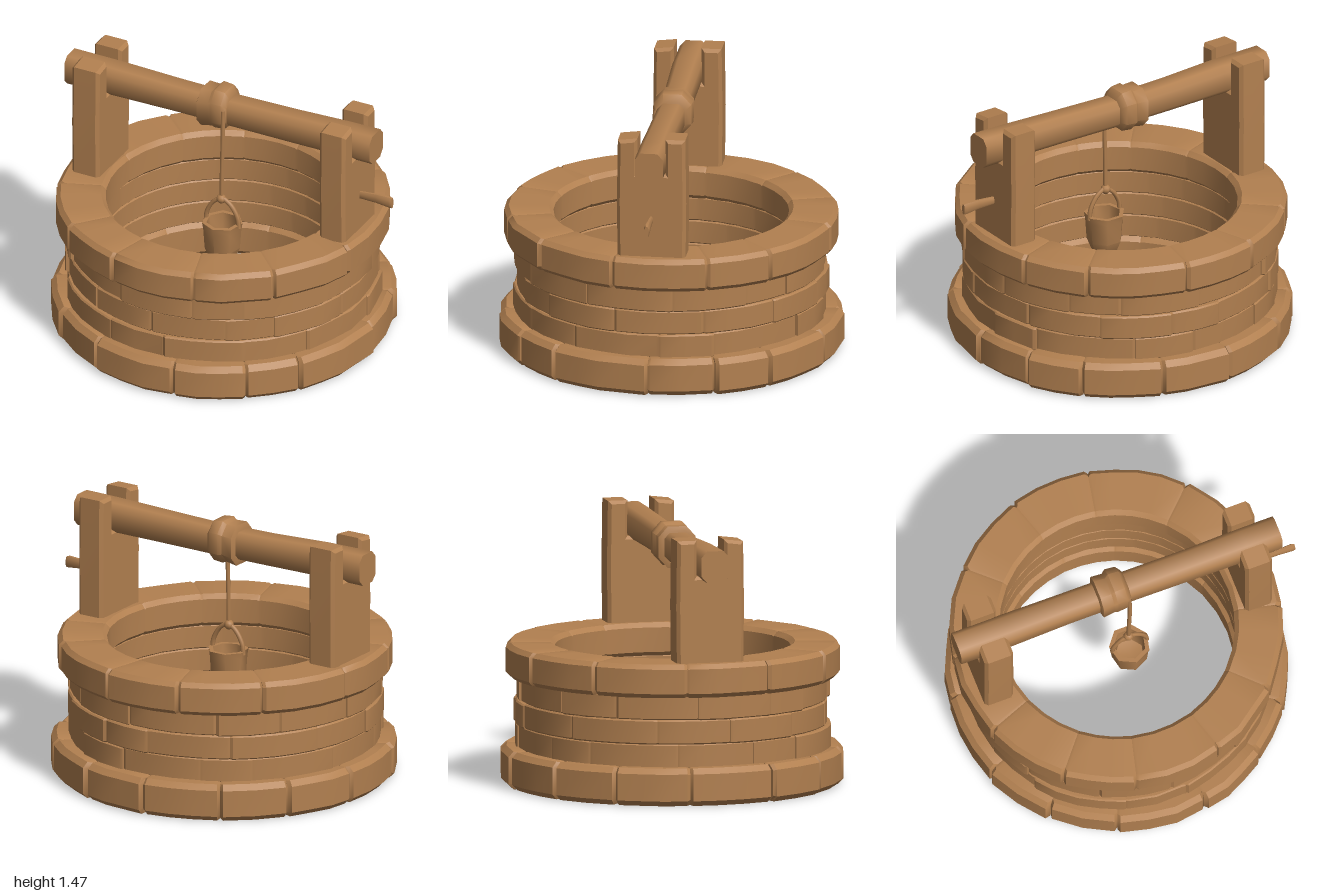
import * as THREE from 'three';
import { toCreasedNormals } from 'three/addons/utils/BufferGeometryUtils.js';

const clay = new THREE.MeshStandardMaterial({ color: 0xb28050, side: THREE.DoubleSide });
clay.name = 'warm brown';

const CX = -0.05; // axis of the well

// small seeded random in -1..1
let seed = 7;
const rnd = () => {
  seed = (seed * 16807) % 2147483647;
  return (seed / 2147483647) * 2 - 1;
};

// skin a row of equal closed sections (arrays of Vector3), capped at both ends
function loft(sections, crease = 0.6) {
  const n = sections[0].length, pos = [], idx = [];
  sections.forEach(s => s.forEach(p => pos.push(p.x, p.y, p.z)));
  for (let i = 0; i < sections.length - 1; i++) {
    for (let j = 0; j < n; j++) {
      const a = i * n + j, b = i * n + (j + 1) % n;
      idx.push(a, b, a + n, b, b + n, a + n);
    }
  }
  const last = (sections.length - 1) * n;
  for (let j = 1; j < n - 1; j++) {
    idx.push(0, j + 1, j, last, last + j, last + j + 1);
  }
  const g = new THREE.BufferGeometry();
  g.setAttribute('position', new THREE.Float32BufferAttribute(pos, 3));
  g.setIndex(idx);
  return toCreasedNormals(g, crease);
}

function add(parent, name, geometry) {
  const m = new THREE.Mesh(geometry, clay);
  m.name = name;
  parent.add(m);
  return m;
}

// one curved stone: chamfered section swept between two angles, drawn in at its ends
function stone(t0, t1, r0, r1, y0, y1, bevel, wobble) {
  const arc = t1 - t0, e = 0.018;
  const steps = Math.max(2, Math.round(arc / 0.17));
  const stops = [[t0, bevel * 0.6]];
  for (let i = 0; i <= steps; i++) {
    stops.push([t0 + e + (arc - 2 * e) * i / steps, 0]);
  }
  stops.push([t1, bevel * 0.6]);
  return loft(stops.map(([t, inset]) => {
    const R = r1 - inset + rnd() * wobble, b = bevel, k = inset * 0.3;
    const lo = y0 + k, hi = y1 - k;
    return [[r0 + b, lo], [R - b, lo], [R, lo + b], [R, hi - b],
      [R - b, hi], [r0 + b, hi], [r0, hi - b], [r0, lo + b]]
      .map(([r, y]) => new THREE.Vector3(CX + r * Math.cos(t), y, r * Math.sin(t)));
  }));
}

// a full ring of irregular stones
function course(name, count, r0, r1, y0, y1, bevel, wobble, rough, offset) {
  const g = new THREE.Group();
  g.name = name;
  const step = Math.PI * 2 / count;
  const cuts = Array.from({ length: count }, (_, i) => offset + step * (i + rnd() * 0.2));
  cuts.push(cuts[0] + Math.PI * 2);
  for (let i = 0; i < count; i++) {
    add(g, 'stone', stone(cuts[i], cuts[i + 1], r0, r1 + rnd() * rough, y0, y1, bevel, wobble));
  }
  return g;
}

// eight-sided sections along x for beam and crank: [x, centre y, centre z, half height, half depth]
function bar(rows, corner = 0.5) {
  return loft(rows.map(([x, y, z, h, d]) =>
    [[1, -corner], [1, corner], [corner, 1], [-corner, 1], [-1, corner], [-1, -corner], [-corner, -1], [corner, -1]]
      .map(([u, v]) => new THREE.Vector3(x, y + v * h, z - u * d)).reverse()), 0.9);
}

// upright with a notch on top for the beam
function post(x0, x1) {
  const b = 0.018;
  const s = new THREE.Shape([[-0.17, 0.7], [0.17, 0.7], [0.175, 1.1], [0.17, 1.45], [0.095, 1.45],
    [0.095, 1.25], [-0.095, 1.25], [-0.095, 1.45], [-0.17, 1.44], [-0.175, 1.1]]
    .map(p => new THREE.Vector2(...p)));
  const g = new THREE.ExtrudeGeometry(s, {
    depth: x1 - x0 - 2 * b, bevelThickness: b, bevelSize: b, bevelSegments: 1 });
  g.rotateY(Math.PI / 2);
  g.translate(x0 + b, 0, 0);
  return toCreasedNormals(g, 0.6);
}

const tube = (pts, r) => new THREE.TubeGeometry(
  new THREE.CatmullRomCurve3(pts.map(p => new THREE.Vector3(...p))), 12, r, 6);

export function createModel() {
  seed = 7;
  const model = new THREE.Group();
  model.name = 'well';

  // stonework: footing, three wall courses, rim
  model.add(course('footing', 14, 0.65, 0.945, 0, 0.21, 0.03, 0.008, 0.008, 0.1));
  for (let i = 0; i < 3; i++) {
    const y = 0.2 + i * 0.135;
    model.add(course('wallCourse', 13, 0.67, 0.865, y, y + 0.137, 0.008, 0.005, 0.014, 0.2 * i));
  }
  model.add(course('rim', 12, 0.65, 0.92, 0.6, 0.787, 0.025, 0.006, 0.006, 0.25));

  // frame
  add(model, 'rightPost', post(-0.9, -0.73));
  add(model, 'leftPost', post(0.64, 0.8));
  add(model, 'beam', bar([
    [-1, 1.335, 0, 0.088, 0.078], [-0.7, 1.335, 0, 0.085, 0.08], [-0.35, 1.328, -0.005, 0.08, 0.075],
    [0, 1.325, -0.005, 0.078, 0.075], [0.4, 1.33, 0, 0.082, 0.075], [0.7, 1.335, 0, 0.085, 0.08],
    [0.9, 1.335, 0, 0.088, 0.078]], 0.6));

  // rope wound round the beam, hanging line and knot
  add(model, 'ropeCoil', bar([
    [-0.175, 1.33, -0.005, 0.085, 0.085], [-0.165, 1.325, -0.005, 0.115, 0.105], [-0.1, 1.33, -0.005, 0.108, 0.1],
    [-0.08, 1.335, -0.01, 0.12, 0.11], [-0.02, 1.335, -0.01, 0.115, 0.105], [0.005, 1.33, -0.005, 0.085, 0.085]]));
  add(model, 'rope', tube([[-0.01, 1.36, 0.085], [-0.008, 1.2, 0.09], [-0.013, 1, 0.09], [-0.015, 0.8, 0.09]], 0.013));
  const knot = add(model, 'knot', new THREE.SphereGeometry(0.028, 8, 6));
  knot.position.set(-0.017, 0.8, 0.09);

  // bucket with its bail
  const bucket = new THREE.Group();
  bucket.name = 'bucket';
  bucket.position.set(-0.01, 0, 0.09);
  const profile = [[0, 0.37], [0.06, 0.4], [0.1, 0.5], [0.108, 0.62], [0.115, 0.66], [0.09, 0.66], [0.08, 0.52], [0, 0.5]];
  add(bucket, 'pail', toCreasedNormals(
    new THREE.LatheGeometry(profile.map(p => new THREE.Vector2(...p)), 7), 0.9));
  for (const s of [-1, 1]) {
    add(bucket, 'bail', tube([[0, 0.81, 0], [s * 0.055, 0.77, 0], [s * 0.095, 0.7, 0], [s * 0.102, 0.64, 0]], 0.013));
  }
  model.add(bucket);

  // crank peg on the left post
  add(model, 'crank', bar([
    [0.78, 1, 0, 0.02, 0.01], [0.9, 1.005, 0, 0.026, 0.012], [0.985, 1.003, 0, 0.032, 0.016], [1, 1.0, 0, 0.03, 0.012]]));

  return model;
}
